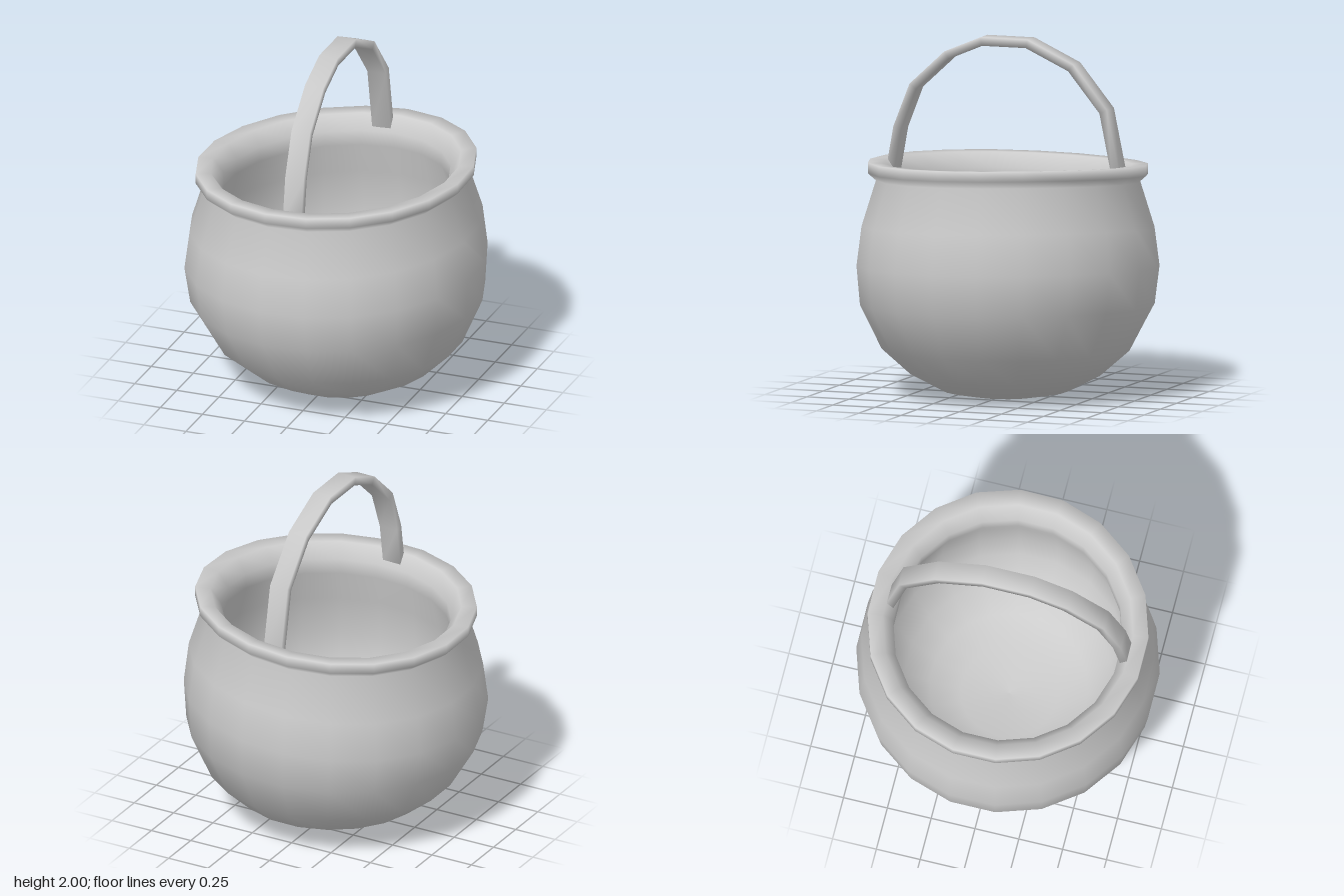
import * as THREE from 'three';

const material = new THREE.MeshStandardMaterial({ color: 0xcccccc, side: THREE.DoubleSide });

// Round pot: one profile runs up the outside, over the lip and down the inside
function makePot() {
  const profile = [
    [0, 0.004], [0.2, 0.008], [0.355, 0.036], [0.53, 0.125], [0.695, 0.27], [0.82, 0.515],
    [0.843, 0.73], [0.815, 0.95], [0.735, 1.205],
    [0.78, 1.245], [0.78, 1.303], [0.695, 1.298], [0.637, 1.215], [0.635, 1.13],
    [0.685, 0.95], [0.71, 0.73], [0.685, 0.53], [0.58, 0.33], [0.44, 0.21], [0.27, 0.14], [0, 0.12],
  ].map(([r, y]) => new THREE.Vector2(r, y));
  const geometry = new THREE.LatheGeometry(profile, 20, Math.PI / 20);

  // The upper part slopes up to one side with a slight warp, and the base shifts towards that side
  const position = geometry.attributes.position;
  for (let i = 0; i < position.count; i++) {
    const x = position.getX(i), y = position.getY(i), z = position.getZ(i);
    const lean = Math.min(1, y / 0.9);
    position.setX(i, x + 0.035 * Math.max(0, 1 - y / 0.73));
    position.setY(i, y + lean * (0.06 * x - 0.013 * z - 0.03 * x * z));
  }
  const pot = new THREE.Mesh(geometry, material);
  pot.name = 'pot';
  return pot;
}

// Carrying handle: a flat strap swept along an uneven arch
function makeHandle() {
  const path = [
    [0.012, 1.235, 0.673], [0.01, 1.47, 0.632], [0.01, 1.705, 0.54], [0.01, 1.89, 0.34],
    [0.01, 1.976, 0.135], [0.01, 1.976, -0.135], [0.012, 1.855, -0.397],
    [0.018, 1.62, -0.592], [0.017, 1.25, -0.668],
  ].map(([x, y, z]) => new THREE.Vector3(x, y, z));
  const section = [[0.055, 0.024], [-0.055, 0.024], [-0.055, -0.024], [0.055, -0.024]];
  const sides = section.length;
  const positions = [], indices = [];

  path.forEach((point, i) => {
    const before = path[Math.max(i - 1, 0)];
    const after = path[Math.min(i + 1, path.length - 1)];
    const tangent = after.clone().sub(before).normalize();
    const outward = new THREE.Vector3(0, -tangent.z, tangent.y);
    for (const [across, depth] of section) {
      const p = point.clone().addScaledVector(outward, depth);
      positions.push(p.x + across, p.y, p.z);
    }
  });
  for (let i = 0; i < path.length - 1; i++) {
    for (let s = 0; s < sides; s++) {
      const a = i * sides + s, b = i * sides + (s + 1) % sides;
      indices.push(a, b, a + sides, b, b + sides, a + sides);
    }
  }
  // End caps
  const last = (path.length - 1) * sides;
  for (let s = 1; s < sides - 1; s++) {
    indices.push(0, s + 1, s, last, last + s, last + s + 1);
  }
  const geometry = new THREE.BufferGeometry();
  geometry.setAttribute('position', new THREE.Float32BufferAttribute(positions, 3));
  geometry.setIndex(indices);
  geometry.computeVertexNormals();
  const handle = new THREE.Mesh(geometry, material);
  handle.name = 'handle';
  return handle;
}

export function createModel() {
  const group = new THREE.Group();
  group.name = 'cauldron';
  group.add(makePot(), makeHandle());
  return group;
}
